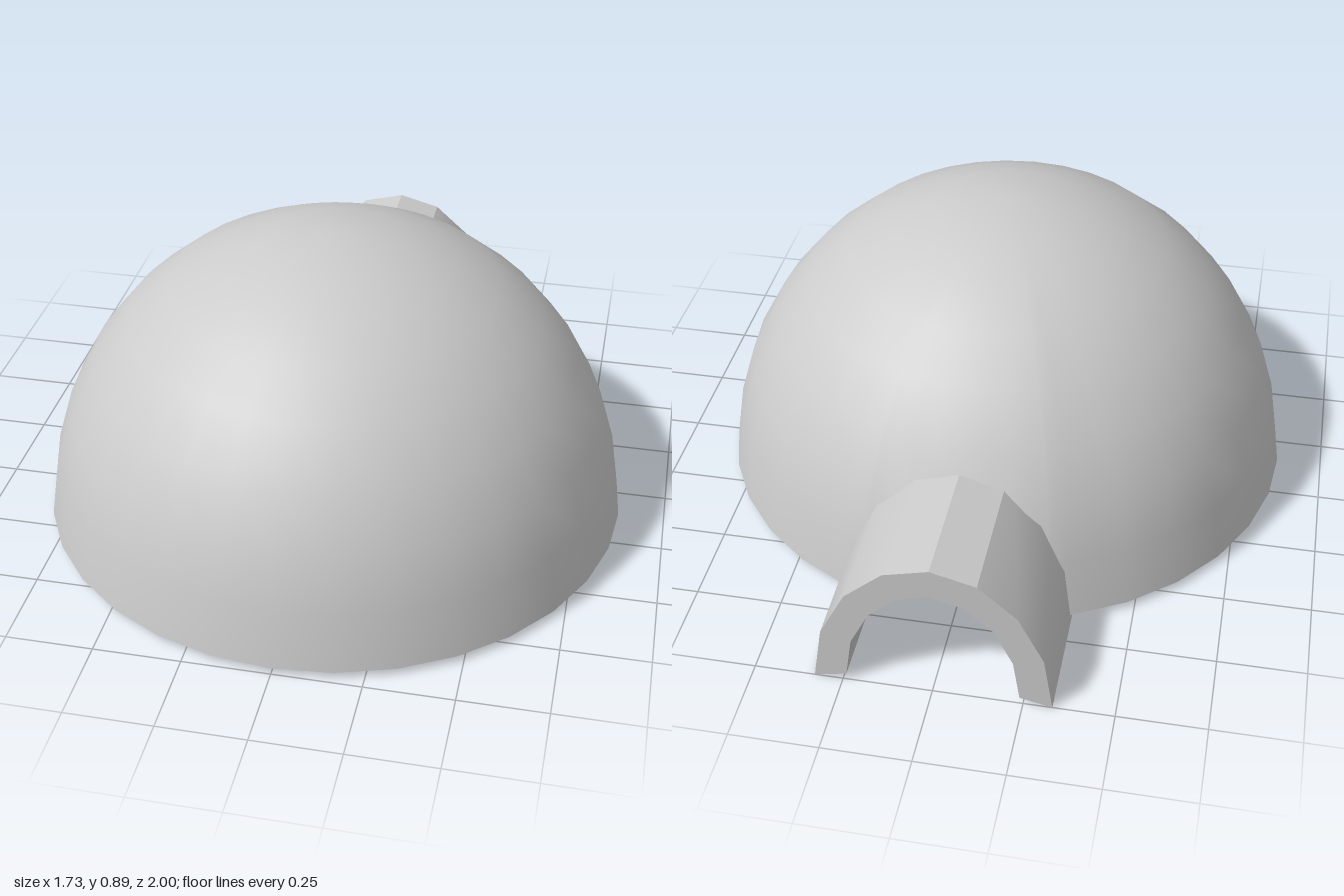
import * as THREE from 'three';
import { mergeVertices, toCreasedNormals } from 'three/addons/utils/BufferGeometryUtils.js';

const BASE = 0.02, RADIUS = 0.865, DOME_Z = 0.135;
const DOOR = { w: 0.285, h: 0.395 };

// Dome profile as [radius, height], apex first
const profile = [[0, 0.89], [0.212, 0.857], [0.345, 0.805], [0.477, 0.737], [0.605, 0.63],
  [0.71, 0.5], [0.79, 0.35], [0.838, 0.19], [RADIUS, BASE]];

function radiusAt(y) {
  for (let j = 1; j < profile.length; j++) {
    const [r0, y0] = profile[j - 1], [r1, y1] = profile[j];
    if (y >= y1) return r0 + (r1 - r0) * (y0 - y) / (y0 - y1);
  }
  return RADIUS;
}

// Height at which a dome column stops: the ground ring, or the arched doorway
function columnEnd(phi) {
  if (Math.abs(phi) > 1) return BASE;
  let y = BASE;
  for (let i = 0; i < 30; i++) {
    const t = radiusAt(y) * Math.sin(phi) / DOOR.w;
    y = Math.max(BASE, DOOR.h * Math.sqrt(Math.max(0, 1 - t * t)));
  }
  return y;
}

// Open shell with a doorway at the back; columns are denser around the door
function domeGeometry() {
  const step = Math.PI / 16, edge = Math.asin(DOOR.w / RADIUS);
  const angles = [];
  for (let k = -16; k <= 16; k++) angles.push(k * step);
  for (const a of [0.1, 0.25, 0.29, 0.32, edge]) angles.push(a, -a);
  angles.sort((a, b) => a - b);

  const positions = [], index = [], n = profile.length;
  angles.forEach((phi, i) => {
    const end = columnEnd(phi);
    profile.forEach(([r0, y0], j) => {
      const y = Math.max(y0, end), r = y > y0 ? radiusAt(y) : r0;
      positions.push(r * Math.sin(phi), y, DOME_Z - r * Math.cos(phi));
      if (i + 1 < angles.length && j + 1 < n) {
        const a = i * n + j, b = a + n;
        if (j > 0) index.push(a, b, a + 1);
        index.push(b, b + 1, a + 1);
      }
    });
  });
  const g = new THREE.BufferGeometry();
  g.setAttribute('position', new THREE.Float32BufferAttribute(positions, 3));
  g.setIndex(index);
  const merged = mergeVertices(g, 1e-4);
  merged.computeVertexNormals();
  return merged;
}

// Arched entrance tunnel with eight-sided inner and outer faces
function tunnelGeometry() {
  const arc = (w, h, y) => Array.from({ length: 9 }, (_, i) => {
    const t = i * Math.PI / 8;
    return new THREE.Vector2(w * Math.cos(t), y + h * Math.sin(t));
  });
  const shape = new THREE.Shape([...arc(0.33, 0.44, 0), ...arc(0.24, 0.33, BASE).reverse()]);
  const g = new THREE.ExtrudeGeometry(shape, { depth: 0.5, bevelEnabled: false });
  g.translate(0, 0, -1);
  return toCreasedNormals(g, 0.45);
}

export function createModel() {
  const group = new THREE.Group();
  group.name = 'igloo';
  const material = new THREE.MeshStandardMaterial({ color: 0xcccccc, side: THREE.DoubleSide });
  const add = (name, geometry) => {
    const mesh = new THREE.Mesh(geometry, material);
    mesh.name = name;
    group.add(mesh);
  };
  add('dome', domeGeometry());
  add('entranceTunnel', tunnelGeometry());
  return group;
}
